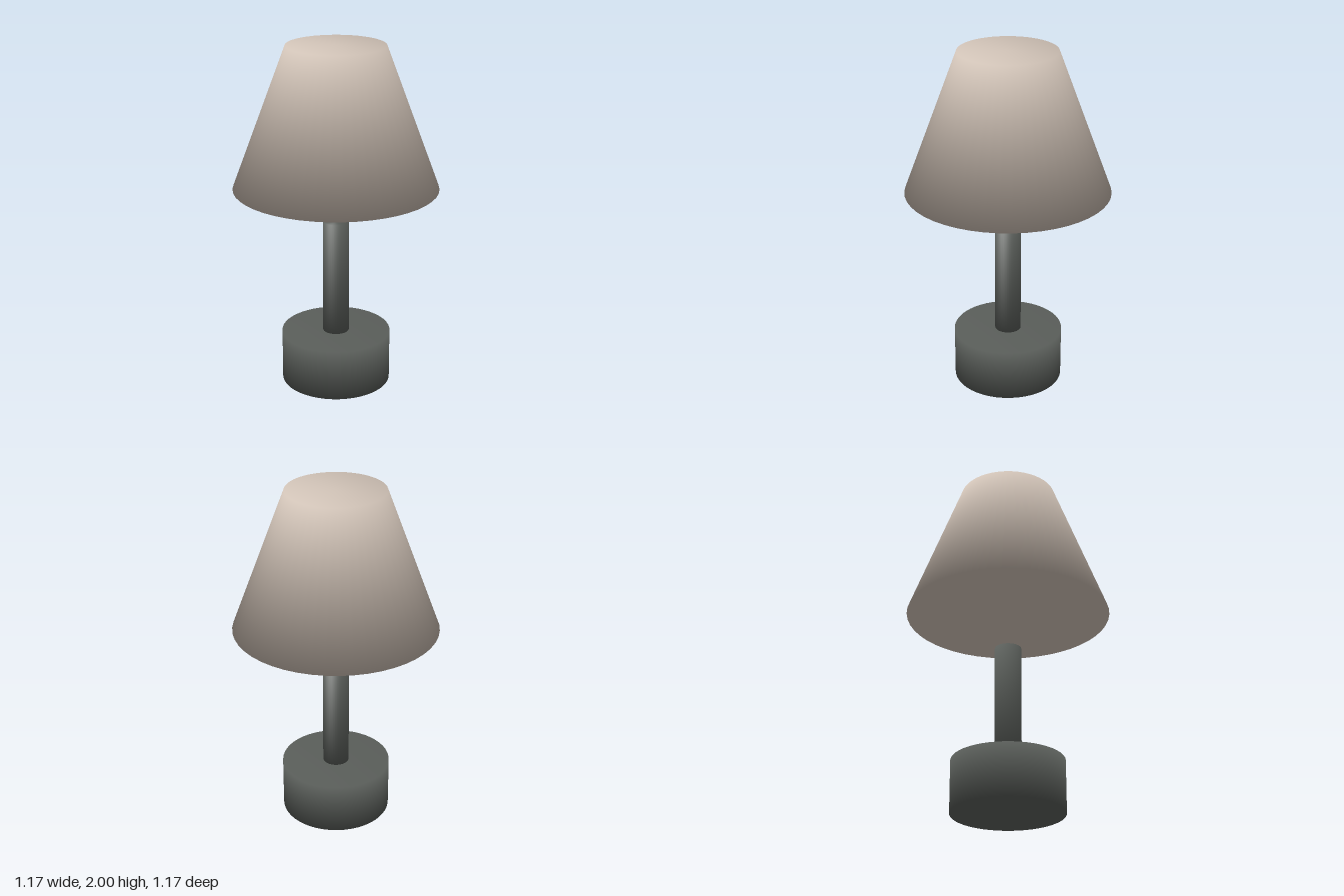
import * as THREE from 'three';

const SIDES = 48;

// Closed frustum standing on y0. Walls and caps share rim normals,
// weighted by the area of the cap and of the two wall panels meeting there.
function smoothFrustum(topRadius, bottomRadius, y0, y1) {
  const height = y1 - y0;
  const geometry = new THREE.CylinderGeometry(topRadius, bottomRadius, height, SIDES);
  const { position, normal } = geometry.attributes;
  const slope = bottomRadius - topRadius;
  const slant = Math.hypot(slope, height);
  const panels = (2 * Math.PI * (topRadius + bottomRadius) / SIDES) * slant;
  const n = new THREE.Vector3();
  for (let i = 0; i < position.count; i++) {
    const x = position.getX(i), z = position.getZ(i);
    const r = Math.hypot(x, z);
    if (r < 1e-6) continue; // cap centres stay vertical
    const isTop = position.getY(i) > 0;
    const cap = Math.PI * r * r * (isTop ? 1 : -1);
    const out = panels * height / slant;
    n.set(out * x / r, cap + panels * slope / slant, out * z / r).normalize();
    normal.setXYZ(i, n.x, n.y, n.z);
  }
  geometry.translate(0, (y0 + y1) / 2, 0);
  return geometry;
}

export function createModel() {
  const metal = new THREE.MeshStandardMaterial({ color: 0x5a5e5a });
  metal.name = 'dark grey metal';
  const fabric = new THREE.MeshStandardMaterial({ color: 0xd2c4b8 });
  fabric.name = 'beige fabric';

  const lamp = new THREE.Group();
  lamp.name = 'tableLamp';
  const addPart = (name, material, ...size) => {
    const mesh = new THREE.Mesh(smoothFrustum(...size), material);
    mesh.name = name;
    lamp.add(mesh);
  };

  // top radius, bottom radius, bottom height, top height
  addPart('base', metal, 0.317, 0.317, 0, 0.3);
  addPart('stem', metal, 0.076, 0.076, 0.3, 0.98);
  addPart('shade', fabric, 0.28, 0.586, 1.185, 2);
  return lamp;
}
